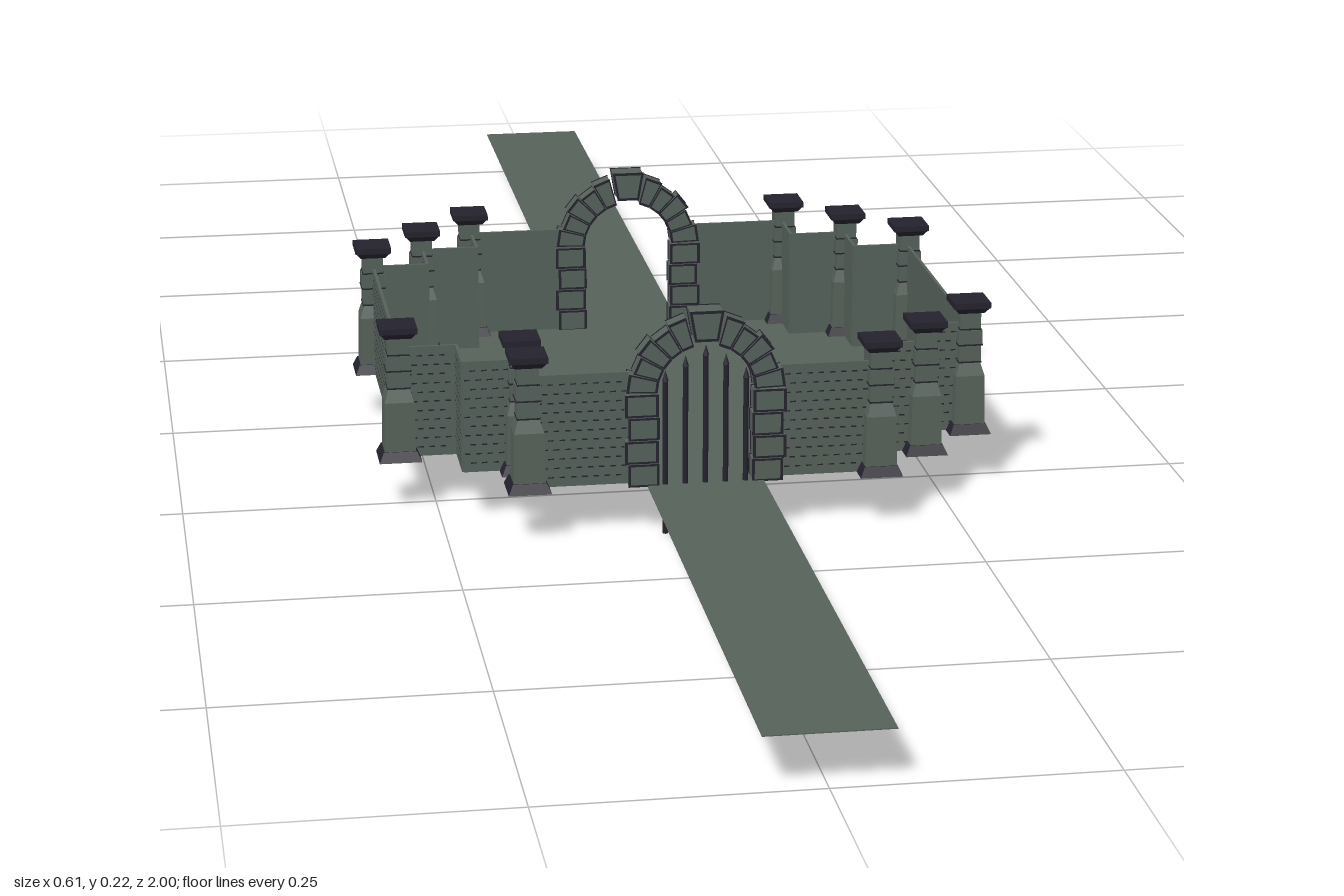
import * as THREE from 'three';
import { mergeGeometries } from 'three/addons/utils/BufferGeometryUtils.js';

const stone = new THREE.MeshStandardMaterial({ color: 0x56625a, side: THREE.DoubleSide });
stone.name = 'stone';
const dark = new THREE.MeshStandardMaterial({ color: 0x24222d, side: THREE.DoubleSide });
dark.name = 'darkTrim';

const FLOOR = 0.05, WALL_TOP = 0.163, CZ = 0.111;

function add(parent, name, geo, mat, x = 0, y = 0, z = 0) {
  const m = new THREE.Mesh(geo, mat);
  m.name = name;
  m.position.set(x, y, z);
  parent.add(m);
  return m;
}

// Square tapered block standing on y = 0
function taper(bottom, top, h) {
  const g = new THREE.CylinderGeometry(top / Math.SQRT2, bottom / Math.SQRT2, h, 4).toNonIndexed();
  g.rotateY(Math.PI / 4).translate(0, h / 2, 0);
  g.computeVertexNormals();
  return g;
}

// Pillar: wide foot, tapered lower shaft, three stacked stones, flared cap
function pillar(x, z) {
  const g = new THREE.Group();
  g.name = 'pillar';
  g.position.set(x, FLOOR, z);
  add(g, 'foot', taper(0.042, 0.033, 0.010), dark);
  add(g, 'lowerShaft', taper(0.031, 0.029, 0.05), stone, 0, 0.010);
  add(g, 'shoulder', taper(0.029, 0.021, 0.013), stone, 0, 0.06);
  [[0.073, 0.022, 0.02], [0.091, 0.024, 0.015], [0.107, 0.021, 0.017]].forEach(([y, w, h]) => {
    add(g, 'joint', taper(w + 0.001, w + 0.001, 0.0015), dark, 0, y);
    add(g, 'upperStone', taper(w, w, h), stone, 0, y + 0.001);
  });
  add(g, 'capFlare', taper(0.026, 0.035, 0.006), dark, 0, 0.125);
  add(g, 'capSlab', taper(0.037, 0.037, 0.006), dark, 0, 0.131);
  return g;
}

// Stone block with a dark border plate on both faces
function archBlock(parent, name, shape, depth) {
  const geo = new THREE.ExtrudeGeometry(shape, { depth, bevelEnabled: false });
  add(parent, name, geo, stone, 0, 0, -depth / 2);
  const pts = shape.getPoints();
  const c = pts.reduce((a, p) => a.add(p), new THREE.Vector2()).divideScalar(pts.length);
  const scaled = k => pts.map(p => p.clone().sub(c).multiplyScalar(k).add(c));
  const rim = new THREE.Shape(scaled(1.05));
  rim.holes.push(new THREE.Path(scaled(0.87).reverse()));
  const rimGeo = new THREE.ExtrudeGeometry(rim, { depth: 0.001, bevelEnabled: false });
  [-1, 1].forEach(s => add(parent, name + 'Outline', rimGeo, dark, 0, 0, s * depth / 2 - 0.0005));
}

function polygon(points) {
  return new THREE.Shape(points.map(p => new THREE.Vector2(...p)));
}

// Archway: stacked jambs, wedge stones, keystone
function archway(z) {
  const g = new THREE.Group();
  g.name = 'archway';
  g.position.z = z;
  const cy = 0.143;
  for (const s of [-1, 1]) {
    for (let i = 0; i < 4; i++) {
      const a = i % 2 ? 0.047 : 0.046, b = i % 2 ? 0.078 : 0.075;
      const y0 = FLOOR + i * 0.0235, y1 = y0 + 0.0215;
      archBlock(g, 'jambStone', polygon([[s * a, y0], [s * b, y0], [s * b, y1], [s * a, y1]]), 0.018);
    }
    const n = 5, start = 0.03, end = Math.PI / 2 - 0.24;
    for (let i = 0; i < n; i++) {
      const t0 = start + (end - start) * i / n, t1 = start + (end - start) * (i + 1) / n - 0.025;
      const outer = i % 2 ? 0.073 : 0.077;
      const at = (r, t) => [s * r * Math.cos(t), cy + r * Math.sin(t)];
      archBlock(g, 'wedgeStone', polygon([at(0.048, t0), at(outer, t0), at(outer, t1), at(0.048, t1)]), 0.018);
    }
  }
  archBlock(g, 'keystone', polygon([[-0.011, 0.195], [0.011, 0.195], [0.016, 0.224], [-0.016, 0.224]]), 0.024);
  return g;
}

// Wall between two plan points, with rows of mortar dashes on its outer face
function wall(a, b) {
  const g = new THREE.Group();
  g.name = 'wall';
  const dx = b[0] - a[0], dz = b[1] - a[1], len = Math.hypot(dx, dz), h = WALL_TOP - FLOOR;
  g.position.set((a[0] + b[0]) / 2, FLOOR, (a[1] + b[1]) / 2);
  g.rotation.y = Math.atan2(-dz, dx);
  add(g, 'wallPanel', new THREE.BoxGeometry(len, h, 0.003), stone, 0, h / 2);
  const dashes = [];
  const step = 0.011;
  for (let row = 1; row < 12; row++) {
    for (let x = -len / 2 + 0.004 + (row % 2) * step / 2; x < len / 2 - 0.004; x += step) {
      dashes.push(new THREE.PlaneGeometry(0.0055, 0.0014).translate(x, row * h / 12, 0.002));
    }
  }
  add(g, 'mortar', mergeGeometries(dashes), dark);
  return g;
}

export function createModel() {
  const model = new THREE.Group();
  model.name = 'walledCourtyard';

  // One quarter of the stepped plan, as offsets from the courtyard centre
  const quarter = [[0.05, 0.254], [0.17, 0.254], [0.17, 0.199], [0.228, 0.199], [0.228, 0.143], [0.285, 0.143]];
  const plan = (sx, sz) => quarter.map(([x, z]) => [sx * x, CZ + sz * z]);
  const right = [...plan(1, 1), ...plan(1, -1).reverse()];
  const left = [...plan(-1, -1), ...plan(-1, 1).reverse()];

  // Floor and causeway
  const floorShape = polygon([...right, ...left].map(([x, z]) => [x, -z]));
  add(model, 'courtyardFloor', new THREE.ShapeGeometry(floorShape).rotateX(-Math.PI / 2), stone, 0, FLOOR + 0.001);
  add(model, 'causeway', new THREE.BoxGeometry(0.114, 0.001, 2), stone, 0, FLOOR);

  // Perimeter walls, leaving both gateways open
  for (const side of [right, left]) {
    for (let i = 0; i < side.length - 1; i++) model.add(wall(side[i], side[i + 1]));
  }

  // Corner pillars
  for (const sx of [-1, 1]) for (const sz of [-1, 1]) {
    [[0.172, 0.256], [0.229, 0.2], [0.286, 0.143]].forEach(([x, z]) => {
      const inset = sx < 0 && sz > 0 && x === 0.229;
      model.add(pillar(sx * (inset ? 0.172 : x), CZ + sz * z));
    });
  }

  // Gateways
  model.add(archway(CZ + 0.258), archway(CZ - 0.258));

  // Pointed bars of the front gate
  const gate = new THREE.Group();
  gate.name = 'gate';
  for (let i = -2; i <= 2; i++) {
    const top = [0.19, 0.18, 0.166][Math.abs(i)];
    add(gate, 'bar', new THREE.CylinderGeometry(0.0027, 0.0027, top - 0.01, 8), dark, i * 0.0197, (top - 0.01) / 2, 0.375);
    add(gate, 'barTip', new THREE.ConeGeometry(0.0032, 0.011, 8), dark, i * 0.0197, top - 0.0055, 0.375);
  }
  model.add(gate);
  return model;
}
